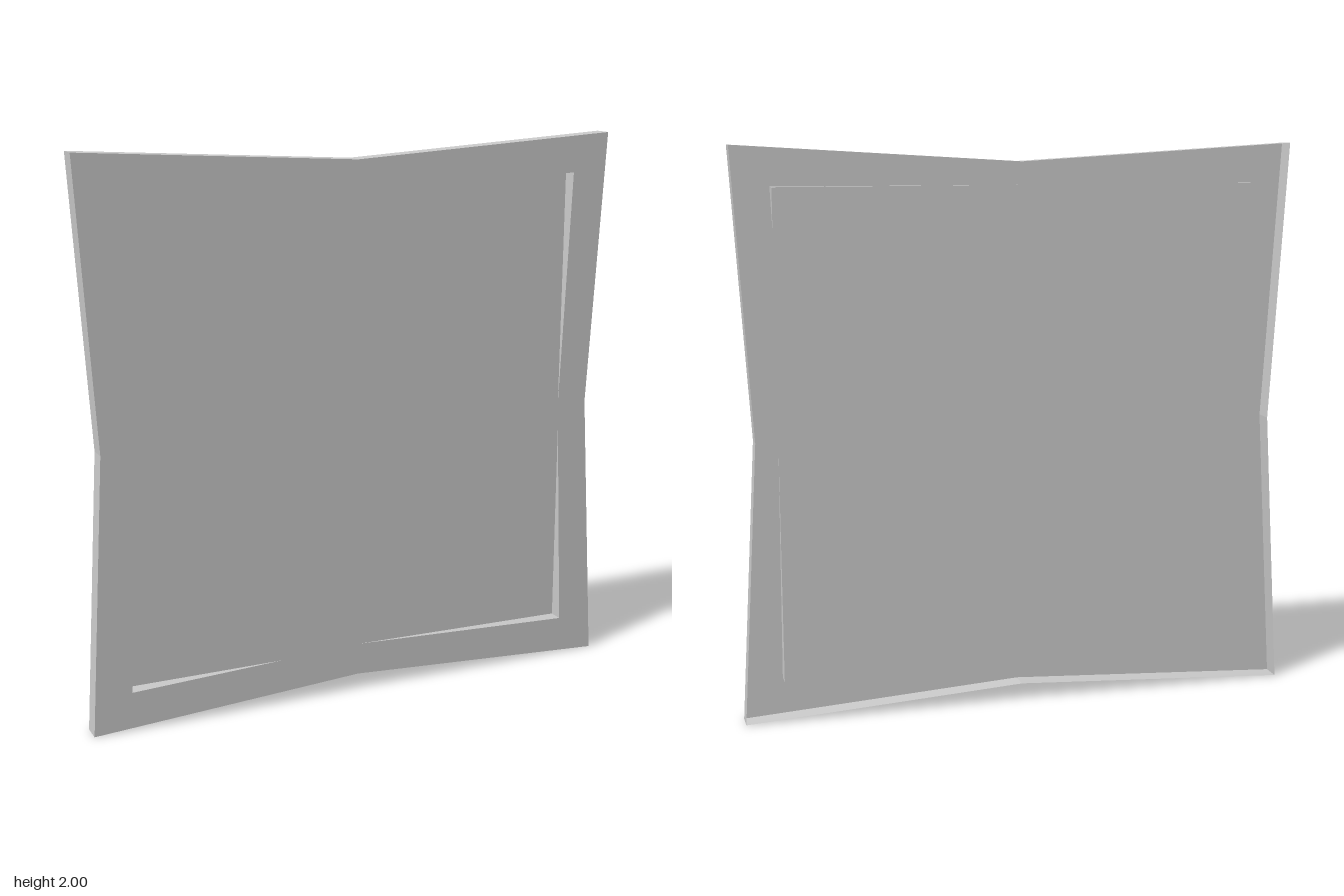
import * as THREE from 'three';

const FRONT = 0.035, BACK = -0.035, PANEL_Z = -0.019;

// Eight-point outline: square corners with the middle of each side pulled in.
function outline(corner, middle) {
  const points = [];
  for (let i = 0; i < 4; i++) {
    const turn = (i * Math.PI) / 2;
    const centre = new THREE.Vector2();
    points.push(new THREE.Vector2(corner, corner).rotateAround(centre, turn));
    points.push(new THREE.Vector2(0, middle).rotateAround(centre, turn));
  }
  return points;
}

// Band of quads joining two outlines at different depths.
function band(loopA, zA, loopB, zB) {
  const position = [];
  const n = loopA.length;
  for (let i = 0; i < n; i++) {
    const j = (i + 1) % n;
    const a = [loopA[i].x, loopA[i].y, zA], b = [loopA[j].x, loopA[j].y, zA];
    const c = [loopB[i].x, loopB[i].y, zB], d = [loopB[j].x, loopB[j].y, zB];
    position.push(...a, ...c, ...b, ...b, ...c, ...d);
  }
  const geometry = new THREE.BufferGeometry();
  geometry.setAttribute('position', new THREE.Float32BufferAttribute(position, 3));
  geometry.computeVertexNormals();
  return geometry;
}

export function createModel() {
  const group = new THREE.Group();
  group.name = 'recessedPanel';
  const material = new THREE.MeshStandardMaterial({
    color: 0xcccccc, flatShading: true, side: THREE.DoubleSide,
  });
  const add = (name, geometry) => {
    const mesh = new THREE.Mesh(geometry, material);
    mesh.name = name;
    mesh.position.y = 1;
    group.add(mesh);
  };

  const outer = outline(1, 0.94);
  const opening = outline(0.86, 0.823);
  const square = outline(0.86, 0.86);

  // Front face with the waisted opening
  const face = new THREE.Shape(outer);
  face.holes.push(new THREE.Path(opening));
  add('frontFrame', new THREE.ShapeGeometry(face).translate(0, 0, FRONT));

  // Outer rim, open at the back
  add('outerRim', band(outer, FRONT, outer, BACK));

  // Recess walls run from the waisted opening to the straight-sided panel
  add('recessWalls', band(square, PANEL_Z, opening, FRONT));
  add('panel', new THREE.PlaneGeometry(1.72, 1.72).translate(0, 0, PANEL_Z));

  return group;
}
